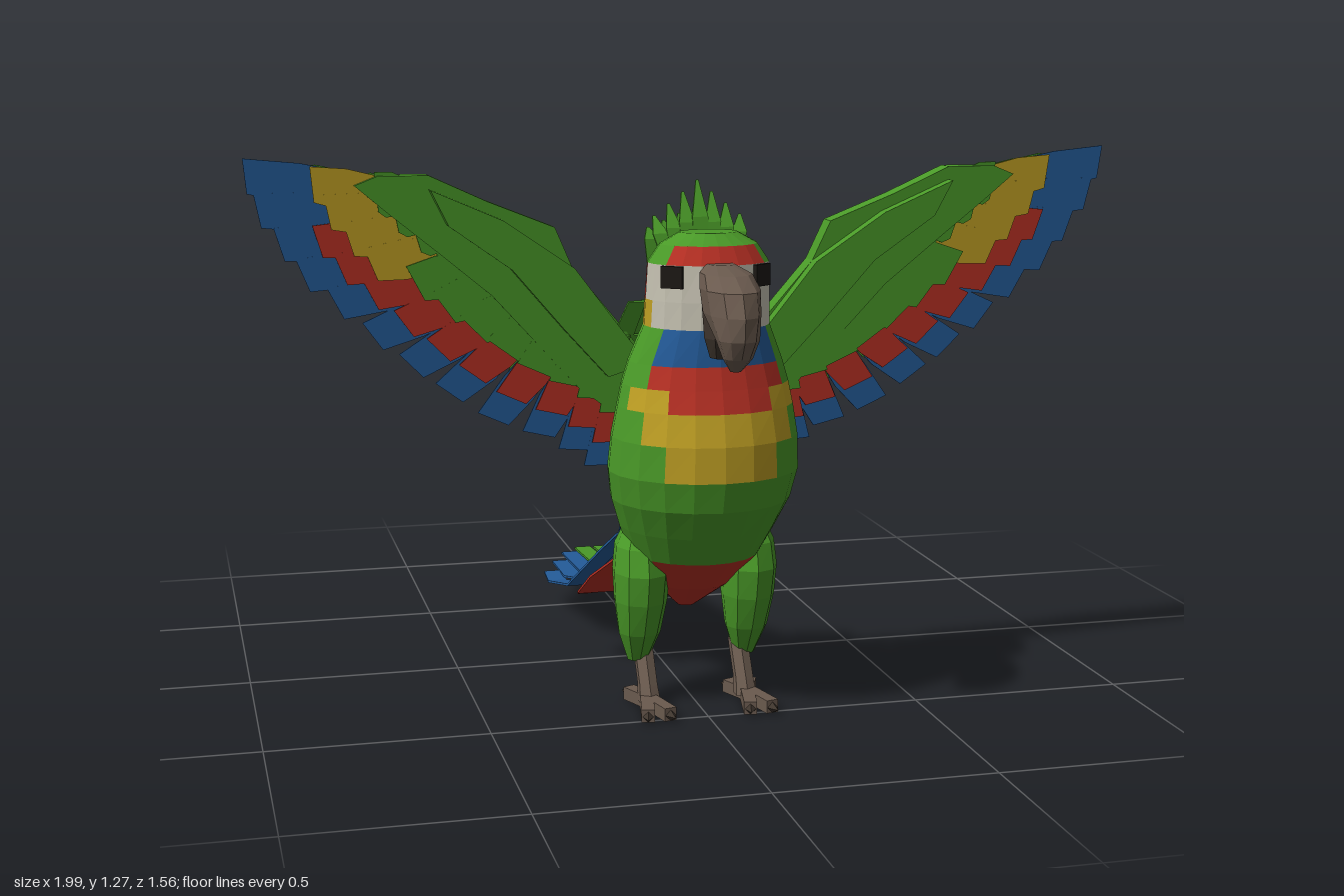
import * as THREE from 'three';

const mat = (name, color) => {
  const m = new THREE.MeshStandardMaterial({ color, flatShading: true, side: THREE.DoubleSide });
  m.name = name;
  return m;
};
const green = mat('leaf green', 0x4a9a28), blue = mat('feather blue', 0x245c9a), red = mat('feather red', 0xb83024),
  yellow = mat('feather yellow', 0xc0a024), cream = mat('face cream', 0xc8c4b4), horn = mat('beak brown', 0x6a5a4e),
  dark = mat('dark horn', 0x3e352d), black = mat('eye black', 0x1c1814);

// Stack of elliptical rings [y, halfWidth, zBack, zFront], bottom to top; pick(angle, y) gives each face its colour.
function loft(name, rings, sides, pick, cx = 0) {
  const group = new THREE.Group(), faces = new Map();
  group.name = name;
  const pt = ([y, w, zb, zf], j) => {
    const a = j * 2 * Math.PI / sides;
    return [cx + w * Math.sin(a), y, (zf + zb) / 2 + (zf - zb) / 2 * Math.cos(a)];
  };
  const mid = ([y, , zb, zf]) => [cx, y, (zb + zf) / 2];
  const add = (m, ...pts) => {
    if (!faces.has(m)) faces.set(m, []);
    faces.get(m).push(...pts.flat());
  };
  const last = rings.length - 1;
  for (let j = 0; j < sides; j++) {
    let deg = (j + 0.5) * 360 / sides;
    if (deg > 180) deg = 360 - deg;
    for (let i = 0; i < last; i++) {
      const a = pt(rings[i], j), b = pt(rings[i], j + 1), c = pt(rings[i + 1], j + 1), d = pt(rings[i + 1], j);
      add(pick(deg, (rings[i][0] + rings[i + 1][0]) / 2), a, b, c, a, c, d);
    }
    add(pick(deg, rings[0][0]), mid(rings[0]), pt(rings[0], j + 1), pt(rings[0], j));
    add(pick(deg, rings[last][0]), mid(rings[last]), pt(rings[last], j), pt(rings[last], j + 1));
  }
  for (const [m, pos] of faces) {
    const g = new THREE.BufferGeometry();
    g.setAttribute('position', new THREE.Float32BufferAttribute(pos, 3));
    g.computeVertexNormals();
    const mesh = new THREE.Mesh(g, m);
    mesh.name = `${name} ${m.name}`;
    group.add(mesh);
  }
  return group;
}

// Thin bent feather that follows a path of [x, y, z] with a width at each point.
function strip(name, path, widths, m) {
  const n = path.length - 1, g = new THREE.BoxGeometry(1, 0.006, 1, 1, 1, n), p = g.attributes.position;
  const d = new THREE.Vector3(...path[n]).sub(new THREE.Vector3(...path[0]));
  const t = new THREE.Vector3(1, 0, 0).cross(d).normalize();
  for (let i = 0; i < p.count; i++) {
    const r = Math.round((0.5 - p.getZ(i)) * n), h = p.getY(i);
    p.setXYZ(i, path[r][0] + p.getX(i) * widths[r], path[r][1] + t.y * h, path[r][2] + t.z * h);
  }
  g.computeVertexNormals();
  const mesh = new THREE.Mesh(g, m);
  mesh.name = name;
  return mesh;
}

// Flat plate in the wing plane, which leans back towards its lower edge.
function plate(name, pts, side, z, depth, m) {
  const shape = new THREE.Shape(pts.map(([x, y]) => new THREE.Vector2(x * side, y)));
  const g = new THREE.ExtrudeGeometry(shape, { depth, bevelEnabled: false }), p = g.attributes.position;
  for (let i = 0; i < p.count; i++) p.setZ(i, p.getZ(i) + z + 0.34 - 0.09 * (1.26 - p.getY(i)));
  g.computeVertexNormals();
  const mesh = new THREE.Mesh(g, m);
  mesh.name = name;
  return mesh;
}

// Feather outline from root to a fraction f of the way to the tip.
function quill([rx, ry], [tx, ty], f, w, pointed) {
  const full = Math.hypot(tx - rx, ty - ry), ux = (tx - rx) / full, uy = (ty - ry) / full, L = full * f;
  const at = (l, n) => [rx + ux * l - uy * n * w, ry + uy * l + ux * n * w];
  const end = pointed ? [at(L, 0.2), at(L, -0.12)] : [at(L + 0.1 * w, 0.45), at(L - 0.1 * w, -0.4)];
  return [at(0, -0.3), at(L * 0.7, -0.5), end[1], end[0], at(L * 0.7, 0.5), at(0, 0.3)];
}

function bodyColour(t, y) {
  if (y > 1.08) return green;
  if (y > 1.04) return t < 62 ? red : green;
  if (y > 0.96) return t < 85 ? cream : t < 112 ? red : green;
  if (y > 0.90) return t < 65 ? cream : t < 118 ? yellow : green;
  if (y > 0.82) return t < 58 ? blue : green;
  if (y > 0.77) return t < 50 ? red : green;
  if (y > 0.72) return t < 40 ? red : t < 66 ? yellow : green;
  if (y > 0.65) return t < 50 ? yellow : green;
  if (t > 100) return blue;
  if (y > 0.57) return t < 38 ? yellow : green;
  if (y < 0.36) return t < 60 || y < 0.25 ? red : green;
  return green;
}

function makeWing(side) {
  const wing = new THREE.Group();
  wing.name = side > 0 ? 'leftWing' : 'rightWing';
  const tips = [[0.99, 1.23], [0.965, 1.155], [0.92, 1.08], [0.87, 1.01], [0.8, 0.945], [0.72, 0.87], [0.635, 0.80],
    [0.55, 0.735], [0.45, 0.67], [0.345, 0.63], [0.26, 0.59], [0.2, 0.55]];
  tips.forEach((tip, i) => {
    const k = i / 11, root = [0.62 - 0.49 * k, 1.18 - 0.36 * k - 0.05 * k * (1 - k)];
    const row = (name, f, w, z, m, pointed) =>
      wing.add(plate(name, quill(root, tip, f, w, pointed), side, z + 0.0004 * i, 0.004, m));
    row('flightFeather', 1, 0.088, 0, blue);
    // underside rows, facing forward
    if (i > 1) row('redUnderCovert', 0.79, 0.085, 0.012, red);
    if (i < 4) row('yellowUnderCovert', 0.62, 0.09, 0.02, yellow);
    row('greenUnderCovert', i < 4 ? 0.25 : 0.52, 0.1, 0.028, green);
    // upper rows, facing back
    row('longCovert', 0.87, 0.088, -0.01, green, true);
    row('middleCovert', 0.64, 0.08, -0.02, green, true);
    row('shortCovert', 0.4, 0.08, -0.03, green, true);
  });
  // arm panel along the leading edge and a thicker shoulder
  wing.add(plate('wingArm', [[0.1, 0.74], [0.13, 0.84], [0.28, 1.02], [0.32, 1.11], [0.47, 1.17], [0.6, 1.23], [0.71, 1.23],
    [0.76, 1.21], [0.69, 1.15], [0.58, 1.06], [0.46, 0.96], [0.36, 0.85], [0.26, 0.74], [0.18, 0.68]], side, -0.012, 0.05, green));
  wing.add(plate('wingShoulder', [[0.1, 0.8], [0.15, 0.85], [0.28, 1.02], [0.44, 1.13], [0.6, 1.2], [0.56, 1.12],
    [0.42, 1.02], [0.3, 0.88], [0.2, 0.77]], side, 0.03, 0.04, green));
  return wing;
}

function makeLeg(side) {
  const leg = new THREE.Group(), x = 0.12 * side;
  leg.name = side > 0 ? 'leftLeg' : 'rightLeg';
  leg.add(loft('thigh', [[0.1, 0.025, 0.315, 0.365], [0.17, 0.05, 0.3, 0.41], [0.25, 0.062, 0.29, 0.445],
    [0.32, 0.066, 0.285, 0.46], [0.38, 0.06, 0.29, 0.445], [0.43, 0.035, 0.32, 0.41]], 9, () => green, 0.128 * side));
  leg.add(loft('shank', [[0.015, 0.028, 0.37, 0.43], [0.05, 0.024, 0.36, 0.41], [0.13, 0.024, 0.31, 0.36]], 6, () => horn, 0.115 * side));
  // two toes forward, two back, each with a claw
  for (const [angle, len] of [[-0.2, 0.12], [0.24, 0.12], [Math.PI - 0.4, 0.07], [Math.PI + 0.4, 0.07]]) {
    const toe = new THREE.Group();
    toe.name = 'toe';
    const bone = new THREE.Mesh(new THREE.BoxGeometry(0.03, 0.03, len), horn);
    bone.name = 'toeBone';
    bone.position.set(0, 0.016, len / 2);
    const claw = new THREE.Mesh(new THREE.ConeGeometry(0.014, 0.03, 4), dark);
    claw.name = 'claw';
    claw.rotation.x = Math.PI / 2;
    claw.position.set(0, 0.014, len + 0.012);
    toe.add(bone, claw);
    toe.position.set(x, 0, 0.395);
    toe.rotation.y = angle;
    leg.add(toe);
  }
  return leg;
}

function makeTail() {
  const tail = new THREE.Group();
  tail.name = 'tail';
  const ends = [-0.78, -0.75, -0.66, -0.55];
  for (const s of [1, -1]) {
    ends.forEach((end, i) => {
      const x0 = 0.022 + 0.038 * i, x1 = 0.027 + 0.0435 * i, o = 0.011 * i;
      const path = (first, drop) => [[x0 * s, first[1] - drop, first[0]], [x0 * s, 0.335 - drop, 0.09], [x1 * s, 0.163 - drop, -0.225],
        [x1 * s, 0.105 - drop, -0.48], [x1 * s, 0.105 + 0.073 * (end + 0.48) - drop * 0.6, end]];
      tail.add(strip('tailFeather', path([0.25, 0.41], o), [0.04, 0.046, 0.048, 0.05, 0.045], i ? blue : green));
      if (!i) tail.add(strip('tailUnderFeather', path([0.25, 0.41], 0.03), [0.04, 0.046, 0.048, 0.05, 0.04], blue));
      // blue rump coverts above, red coverts below
      if (i < 3) {
        tail.add(strip('rumpCovert', [[x0 * s, 0.47, 0.23], [x0 * s, 0.405, 0.17], [x0 * s, 0.345 - o, 0.08]], [0.05, 0.05, 0.04], blue));
        tail.add(strip('redTailCovert', [[(x0 + 0.01) * s, 0.32, 0.2], [(x1 + 0.015) * s, 0.188, -0.08],
          [(x1 + 0.018) * s, 0.108, -0.225], [(x1 + 0.018) * s, 0.1, -0.28 + 0.015 * i]], [0.04, 0.045, 0.045, 0.03], red));
      }
    });
  }
  tail.add(loft('tailRoot', [[0.26, 0.07, 0.2, 0.36], [0.33, 0.11, 0.14, 0.36], [0.38, 0.12, 0.15, 0.36], [0.45, 0.09, 0.2, 0.36]], 10, () => blue));
  return tail;
}

export function createModel() {
  const bird = new THREE.Group();
  bird.name = 'parrot';
  bird.add(loft('body', [[0.21, 0.02, 0.27, 0.31], [0.28, 0.09, 0.23, 0.43], [0.36, 0.15, 0.205, 0.52], [0.43, 0.18, 0.2, 0.57],
    [0.5, 0.205, 0.215, 0.615], [0.57, 0.217, 0.24, 0.635], [0.65, 0.212, 0.265, 0.635], [0.72, 0.2, 0.29, 0.62],
    [0.77, 0.19, 0.305, 0.605], [0.82, 0.175, 0.32, 0.592], [0.9, 0.142, 0.34, 0.59], [0.96, 0.14, 0.355, 0.59],
    [1.04, 0.137, 0.375, 0.585], [1.08, 0.11, 0.4, 0.565], [1.105, 0.065, 0.43, 0.53]], 20, bodyColour));
  // hooked beak
  bird.add(loft('upperBeak', [[0.83, 0.012, 0.695, 0.72], [0.86, 0.032, 0.69, 0.755], [0.9, 0.046, 0.665, 0.778], [0.95, 0.058, 0.57, 0.782],
    [1.0, 0.062, 0.56, 0.76], [1.03, 0.055, 0.55, 0.7], [1.045, 0.03, 0.55, 0.62]], 10, () => horn));
  bird.add(loft('lowerBeak', [[0.845, 0.03, 0.58, 0.64], [0.89, 0.045, 0.56, 0.675], [0.96, 0.05, 0.55, 0.68]], 8, () => dark));

  for (const s of [1, -1]) {
    const eye = new THREE.Mesh(new THREE.BoxGeometry(0.05, 0.048, 0.009), black);
    eye.name = 'eye';
    eye.position.set(0.101 * s, 1.015, 0.557);
    eye.rotation.y = 0.64 * s;
    bird.add(eye, makeWing(s), makeLeg(s));
  }
  bird.add(makeTail());

  // pointed crest on the back of the head
  for (let i = -3; i <= 3; i++) {
    const x = i * 0.03, a = Math.abs(i);
    bird.add(strip('crestFeather', [[x * 0.8, 1.04, 0.42], [x, 1.13 - 0.012 * a, 0.41], [x * 1.1, 1.21 - 0.026 * a, 0.38]], [0.035, 0.036, 0.006], green));
    bird.add(strip('rearCrestFeather', [[x, 0.98, 0.375], [x * 1.1, 1.08, 0.375], [x * 1.2, 1.15 - 0.015 * a, 0.36]], [0.035, 0.04, 0.006], green));
  }
  // overlapping mantle feathers down the back
  for (let i = -4; i <= 4; i++) {
    const x = i * 0.042, z = 1.2 * x * x;
    bird.add(strip('mantleFeather', [[x, 0.86, 0.315 + z], [x * 1.15, 0.7, 0.255 + z * 0.7], [x * 1.3, 0.56 + 0.1 * Math.abs(x), 0.2 + z]], [0.045, 0.055, 0.012], green));
    bird.add(strip('upperMantleFeather', [[x * 0.8, 0.94, 0.335 + z], [x, 0.83, 0.29 + z], [x * 1.15, 0.7, 0.238 + z]], [0.04, 0.05, 0.012], green));
  }
  return bird;
}
